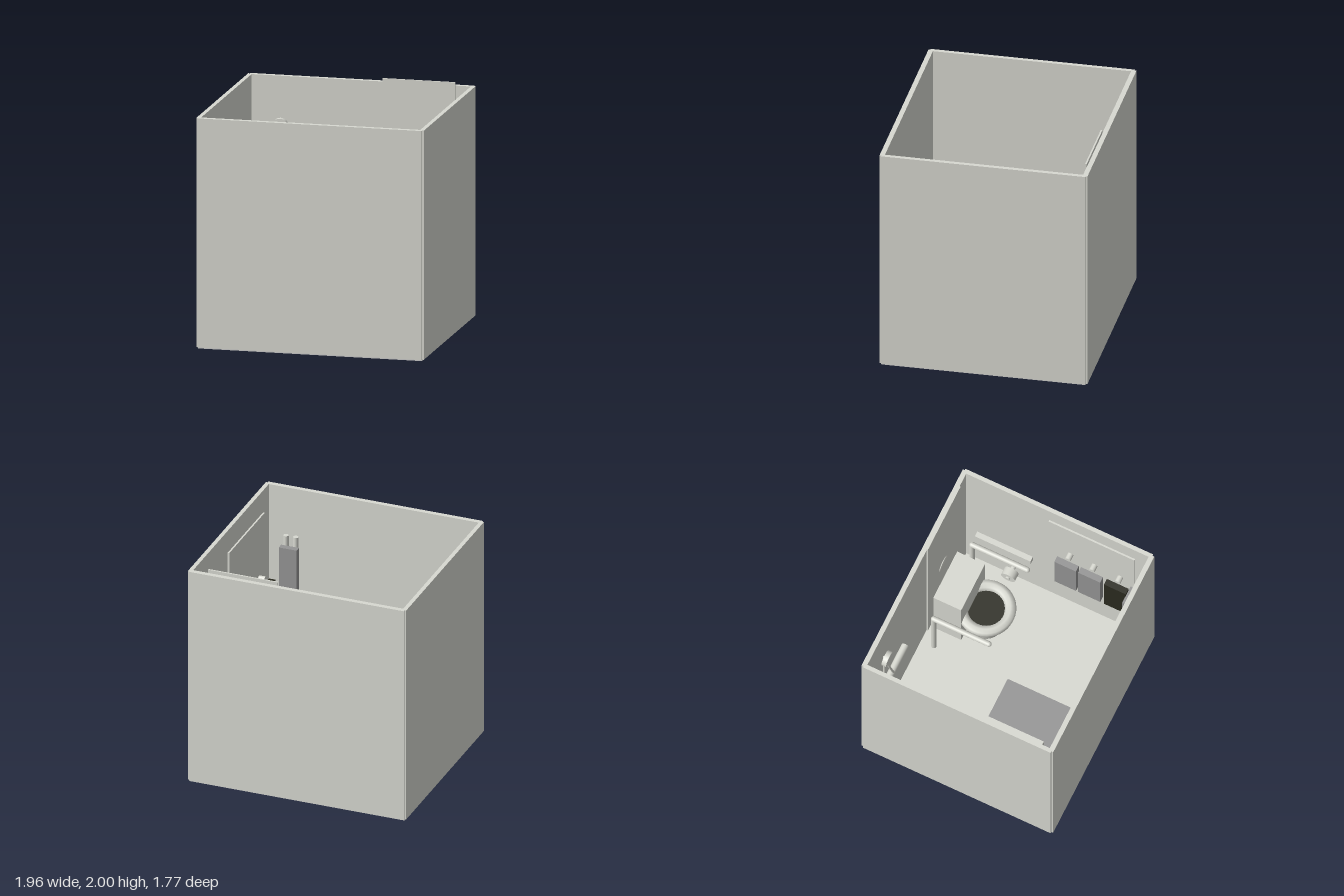
import * as THREE from 'three';

const mat = (name, color) => {
  const m = new THREE.MeshStandardMaterial({ color });
  m.name = name;
  return m;
};

export function createModel() {
  const light = mat('warmWhite', 0xd8d9d1);
  const slabGrey = mat('paleGrey', 0xcbcbcb);
  const grey = mat('midGrey', 0x959595);
  const black = mat('darkOlive', 0x2b2b20);
  const model = new THREE.Group();
  model.name = 'bathroom';

  const add = (name, geo, m, parent = model) => {
    const mesh = new THREE.Mesh(geo, m);
    mesh.name = name;
    parent.add(mesh);
    return mesh;
  };
  const group = (name) => {
    const g = new THREE.Group();
    g.name = name;
    model.add(g);
    return g;
  };
  // Box given by its low and high limits on each axis
  const box = (name, x0, x1, y0, y1, z0, z1, m, parent) => {
    const b = add(name, new THREE.BoxGeometry(x1 - x0, y1 - y0, z1 - z0), m, parent);
    b.position.set((x0 + x1) / 2, (y0 + y1) / 2, (z0 + z1) / 2);
    return b;
  };
  // Cylinder between two points
  const rod = (name, a, b, r, m, parent) => {
    const p = new THREE.Vector3(...a), q = new THREE.Vector3(...b);
    const d = q.clone().sub(p);
    const c = add(name, new THREE.CylinderGeometry(r, r, d.length(), 24), m, parent);
    c.position.copy(p).add(q).multiplyScalar(0.5);
    c.quaternion.setFromUnitVectors(new THREE.Vector3(0, 1, 0), d.normalize());
    return c;
  };

  // Room shell: slab, tiles and four walls with notched corners
  const room = group('room');
  box('floorSlab', -0.965, 0.965, 0, 0.012, -0.87, 0.87, slabGrey, room);
  box('floorTiles', -0.96, 0.96, 0.012, 0.03, -0.865, 0.865, light, room);
  for (const s of [-1, 1]) {
    const f = box(s > 0 ? 'frontWall' : 'backWall', -0.965, 0.965, 0.012, 1.97, -0.021, 0.021, light, room);
    f.position.z = s * 0.866;
    const w = box(s > 0 ? 'leftWall' : 'rightWall', -0.018, 0.018, 0.012, 1.97, -0.87, 0.87, light, room);
    w.position.x = s * 0.961;
  }
  box('floorMat', -0.857, 0.088, 0.03, 0.042, -0.045, 0.605, grey);

  // Toilet: lathed bowl with open rim, dark water, cistern, wall panel and button
  const toilet = group('toilet');
  const profile = [[0.14, 0.03], [0.15, 0.06], [0.16, 0.18], [0.22, 0.3], [0.245, 0.36],
    [0.252, 0.4], [0.24, 0.43], [0.205, 0.445], [0.17, 0.43], [0.158, 0.4], [0.156, 0.34]]
    .map(([x, y]) => new THREE.Vector2(x, y));
  const bowlMat = light.clone();
  bowlMat.side = THREE.DoubleSide;
  add('bowl', new THREE.LatheGeometry(profile, 40), bowlMat, toilet).position.set(0.458, 0, -0.424);
  const water = add('water', new THREE.CylinderGeometry(0.155, 0.155, 0.008, 40), black, toilet);
  water.position.set(0.458, 0.39, -0.424);
  box('cistern', 0.232, 0.688, 0.03, 0.75, -0.805, -0.547, light, toilet);
  box('backPanel', 0.185, 0.81, 0.03, 2, -0.846, -0.832, light, toilet);
  const button = add('flushButton', new THREE.SphereGeometry(0.075, 28, 16), light, toilet);
  button.scale.z = 0.15;
  button.position.set(0.458, 1.0, -0.82);

  // Support rails on both sides of the toilet
  for (const x of [0.088, 0.82]) {
    const rail = group('supportRail');
    rod('railBar', [x, 0.68, -0.73], [x, 0.68, -0.22], 0.024, light, rail);
    for (const z of [-0.73, -0.22]) {
      add('railEnd', new THREE.SphereGeometry(0.024, 20, 12), light, rail).position.set(x, 0.68, z);
    }
    rod('railPost', [x, 0.03, -0.73], [x, 0.68, -0.73], 0.024, light, rail);
  }
  box('wallRail', 0.89, 0.937, 0.62, 0.7, -0.74, -0.225, light);
  rod('paperRoll', [0.735, 0.53, -0.357], [0.805, 0.53, -0.357], 0.065, light);
  rod('paperHolder', [0.722, 0.53, -0.357], [0.85, 0.53, -0.357], 0.02, light);

  // Hanging board with three pegs and towels
  const rack = group('towelRack');
  box('rackBoard', 0.928, 0.944, 1.0, 1.765, -0.075, 0.72, light, rack);
  [[0.03, 0.23, grey], [0.25, 0.455, grey], [0.49, 0.692, black]].forEach(([z0, z1, m]) => {
    const z = (z0 + z1) / 2;
    rod('peg', [0.872, 1.21, z], [0.93, 1.21, z], 0.026, light, rack);
    box('towel', 0.822, 0.877, 0.7, 1.17, z0, z1, m, rack);
  });

  // Slim heater on the front wall with a bracket and two pipes
  const heater = group('heater');
  box('heaterBody', 0.652, 0.812, 0.75, 1.45, 0.742, 0.797, grey, heater);
  rod('heaterBracket', [0.734, 1.3, 0.796], [0.734, 1.3, 0.846], 0.028, light, heater);
  for (const x of [0.69, 0.778]) rod('heaterPipe', [x, 0.75, 0.82], [x, 1.535, 0.82], 0.023, light, heater);

  // Shower: head, riser, hose, mixer
  const shower = group('shower');
  rod('riser', [-0.683, 0.85, -0.815], [-0.683, 1.55, -0.815], 0.012, light, shower);
  rod('showerHead', [-0.683, 1.55, -0.808], [-0.683, 1.55, -0.766], 0.07, light, shower);
  const hosePath = new THREE.CatmullRomCurve3([[-0.68, 1.46], [-0.64, 1.27], [-0.59, 1.05], [-0.54, 0.85]]
    .map(([x, y]) => new THREE.Vector3(x, y, -0.797)));
  add('hose', new THREE.TubeGeometry(hosePath, 16, 0.01, 10), light, shower);
  rod('mixer', [-0.637, 0.85, -0.815], [-0.282, 0.85, -0.815], 0.031, light, shower);

  // Corner shelf with bottles
  const shelf = group('cornerShelf');
  box('shelfBoard', -0.944, -0.585, 0.58, 0.61, -0.838, -0.705, light, shelf);
  [[-0.858, black], [-0.77, light], [-0.682, grey]].forEach(([x, m]) =>
    rod('bottle', [x, 0.61, -0.742], [x, 0.76, -0.742], 0.027, m, shelf));

  // Washbasin: block with a sunken rectangular bowl
  const basin = group('washbasin');
  const points = (list) => list.map(([x, y]) => new THREE.Vector2(x, y));
  const plan = new THREE.Shape(points([[-0.94, -0.58], [-0.51, -0.58], [-0.51, -0.025], [-0.94, -0.025]]));
  plan.holes.push(new THREE.Path(points([[-0.838, -0.515], [-0.838, -0.145], [-0.588, -0.145], [-0.588, -0.515]])));
  const rim = add('basinRim', new THREE.ExtrudeGeometry(plan, { depth: 0.14, bevelEnabled: false }), light, basin);
  rim.rotation.x = -Math.PI / 2;
  rim.position.y = 0.6;
  box('basinBottom', -0.94, -0.51, 0.57, 0.602, 0.025, 0.58, light, basin);
  rod('drain', [-0.716, 0.6, 0.32], [-0.716, 0.608, 0.32], 0.032, light, basin);
  box('tapBase', -0.92, -0.863, 0.74, 0.86, 0.145, 0.3, light, basin);
  box('tapSpout', -0.863, -0.73, 0.82, 0.86, 0.25, 0.3, light, basin);
  box('towelBar', -0.92, -0.775, 0.62, 0.68, 0.58, 0.638, light, basin);

  // Cups and brush along the wall
  rod('brush', [-0.9, 0.74, 0.148], [-0.9, 0.9, 0.148], 0.024, black, basin);
  [[0.145, grey], [0.338, grey], [0.442, light]].forEach(([z, m]) =>
    rod('cup', [-0.913, 0.74, z], [-0.913, 0.92, z], 0.031, m, basin));

  return model;
}
